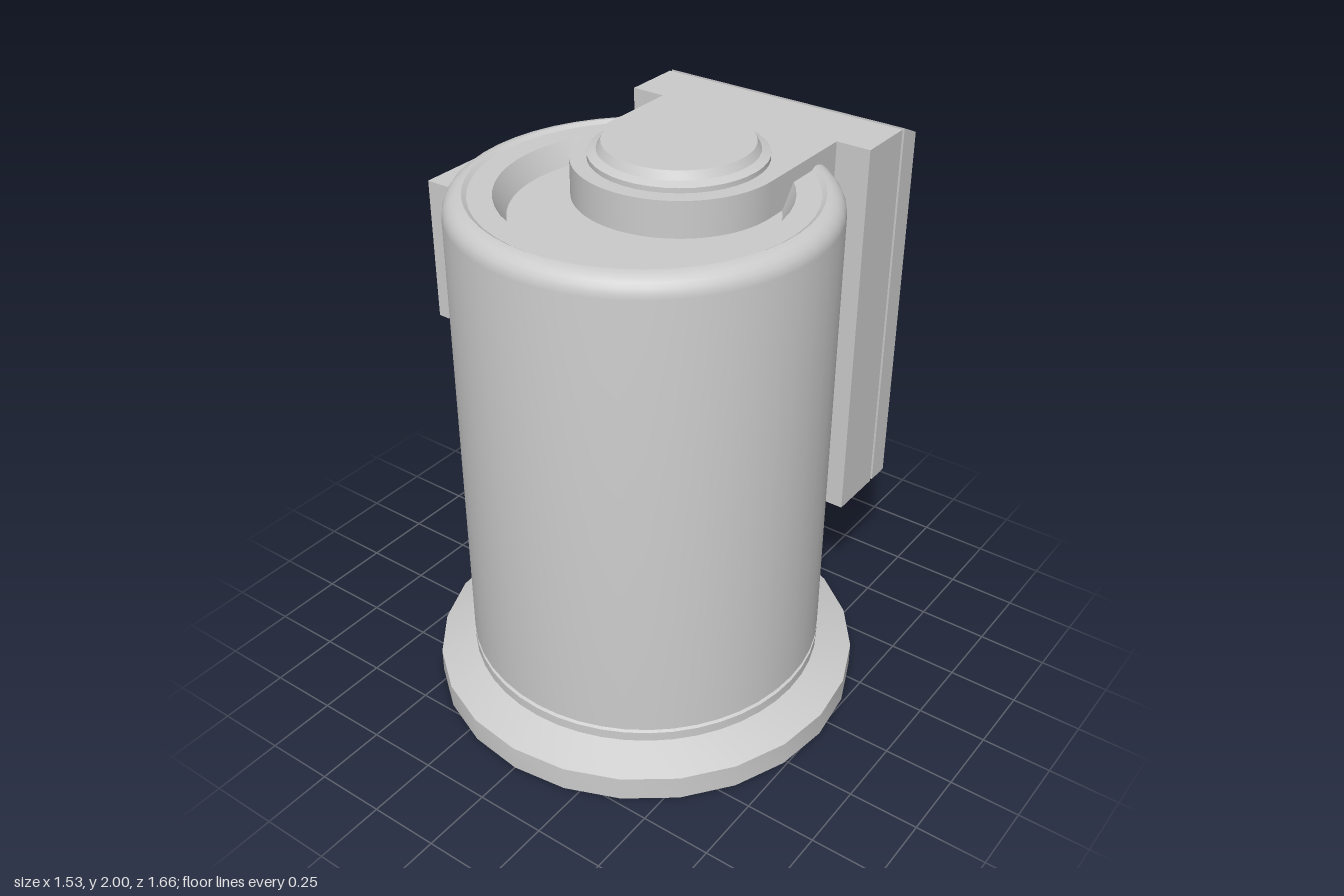
import * as THREE from 'three';
import { toCreasedNormals } from 'three/addons/utils/BufferGeometryUtils.js';

const grey = new THREE.MeshStandardMaterial({ color: 0xcccccc, side: THREE.DoubleSide });
const AXIS_Z = 0.065; // centre line of the drum

export function createModel() {
  const model = new THREE.Group();
  model.name = 'ventilatedDrum';

  const add = (name, geometry, x = 0, y = 0, z = 0, parent = model) => {
    const mesh = new THREE.Mesh(geometry, grey);
    mesh.name = name;
    mesh.position.set(x, y, z);
    parent.add(mesh);
    return mesh;
  };
  const lathe = (points, sides) => toCreasedNormals(
    new THREE.LatheGeometry(points.map(([r, y]) => new THREE.Vector2(r, y)), sides), 0.5);
  // Box given by its limits on each axis
  const box = (name, [x0, x1], [y0, y1], [z0, z1], parent = model) => add(name,
    new THREE.BoxGeometry(x1 - x0, y1 - y0, z1 - z0),
    (x0 + x1) / 2, (y0 + y1) / 2, (z0 + z1) / 2, parent);

  // Base flange, open underneath
  add('baseFlange', lathe([[0.765, 0], [0.765, 0.09], [0.635, 0.145]], 24), 0, 0, AXIS_Z);

  // Drum: collar, groove, wall, rounded shoulder and recessed lid
  const drum = [[0.635, 0.145], [0.635, 0.18], [0.625, 0.185], [0.625, 0.195], [0.635, 0.2]];
  for (let i = 0; i <= 6; i++) {
    const a = (i / 6) * Math.PI / 2;
    drum.push([0.57 + 0.065 * Math.cos(a), 1.84 + 0.065 * Math.sin(a)]);
  }
  drum.push([0.555, 1.895], [0.475, 1.895], [0.435, 1.82], [0, 1.82]);
  add('drum', lathe(drum, 48), 0, 0, AXIS_Z);

  // Column joining the round hub to the vent housing
  const plan = new THREE.Shape();
  plan.moveTo(-0.475, 0.73);
  plan.lineTo(-0.475, 0.515);
  plan.lineTo(-0.35, 0.515);
  plan.lineTo(-0.35, 0.12);
  plan.absarc(0, 0.12, 0.35, Math.PI, 2 * Math.PI, false);
  plan.lineTo(0.35, 0.515);
  plan.lineTo(0.475, 0.515);
  plan.lineTo(0.475, 0.73);
  plan.closePath();
  const column = new THREE.ExtrudeGeometry(plan, { depth: 1.42, bevelEnabled: false, curveSegments: 24 });
  column.rotateX(-Math.PI / 2);
  add('ventHousing', toCreasedNormals(column, 0.5), 0, 0.525, 0);

  // Round cap on the hub
  add('hubCap', lathe([[0.295, 1.945], [0.295, 1.962], [0.265, 1.973], [0.25, 2], [0, 2]], 40), 0, 0, -0.12);

  // Vent: seam, frame with sloped top edge, back panel and louvres
  const vent = new THREE.Group();
  vent.name = 'vent';
  model.add(vent);
  box('ventSeam', [-0.465, 0.465], [0.535, 1.935], [-0.75, -0.725], vent);

  const rect = (path, w, y0, y1) => {
    path.moveTo(-w, y0);
    path.lineTo(w, y0);
    path.lineTo(w, y1);
    path.lineTo(-w, y1);
    path.closePath();
    return path;
  };
  const outline = rect(new THREE.Shape(), 0.475, 0.525, 1.945);
  outline.holes.push(rect(new THREE.Path(), 0.425, 0.575, 1.86));
  const frame = new THREE.ExtrudeGeometry(outline, { depth: 0.085, bevelEnabled: false });
  const pos = frame.attributes.position;
  for (let i = 0; i < pos.count; i++) {
    if (pos.getZ(i) < 0.01 && pos.getY(i) > 1.9) pos.setY(i, 1.905);
  }
  frame.computeVertexNormals();
  add('ventFrame', frame, 0, 0, -0.83, vent);
  box('ventPanel', [-0.43, 0.43], [0.57, 1.865], [-0.76, -0.745], vent);

  const count = 20;
  const pitch = 1.285 / count;
  const slat = new THREE.BoxGeometry(0.85, 0.014, 0.065);
  for (let i = 0; i < count; i++) {
    const louvre = add('louvre', slat, 0, 0.575 + (i + 0.5) * pitch, -0.79, vent);
    louvre.rotation.x = -0.65; // outer edge hangs down
  }

  // Control box with a conduit and foot on the right side
  const control = new THREE.Group();
  control.name = 'control';
  model.add(control);
  box('controlBox', [-0.76, -0.605], [1.28, 1.79], [-0.13, 0.25], control);
  box('conduit', [-0.725, -0.675], [0.58, 1.28], [-0.035, 0.055], control);
  box('conduitFoot', [-0.675, -0.625], [0.58, 0.63], [-0.035, 0.055], control);

  return model;
}
